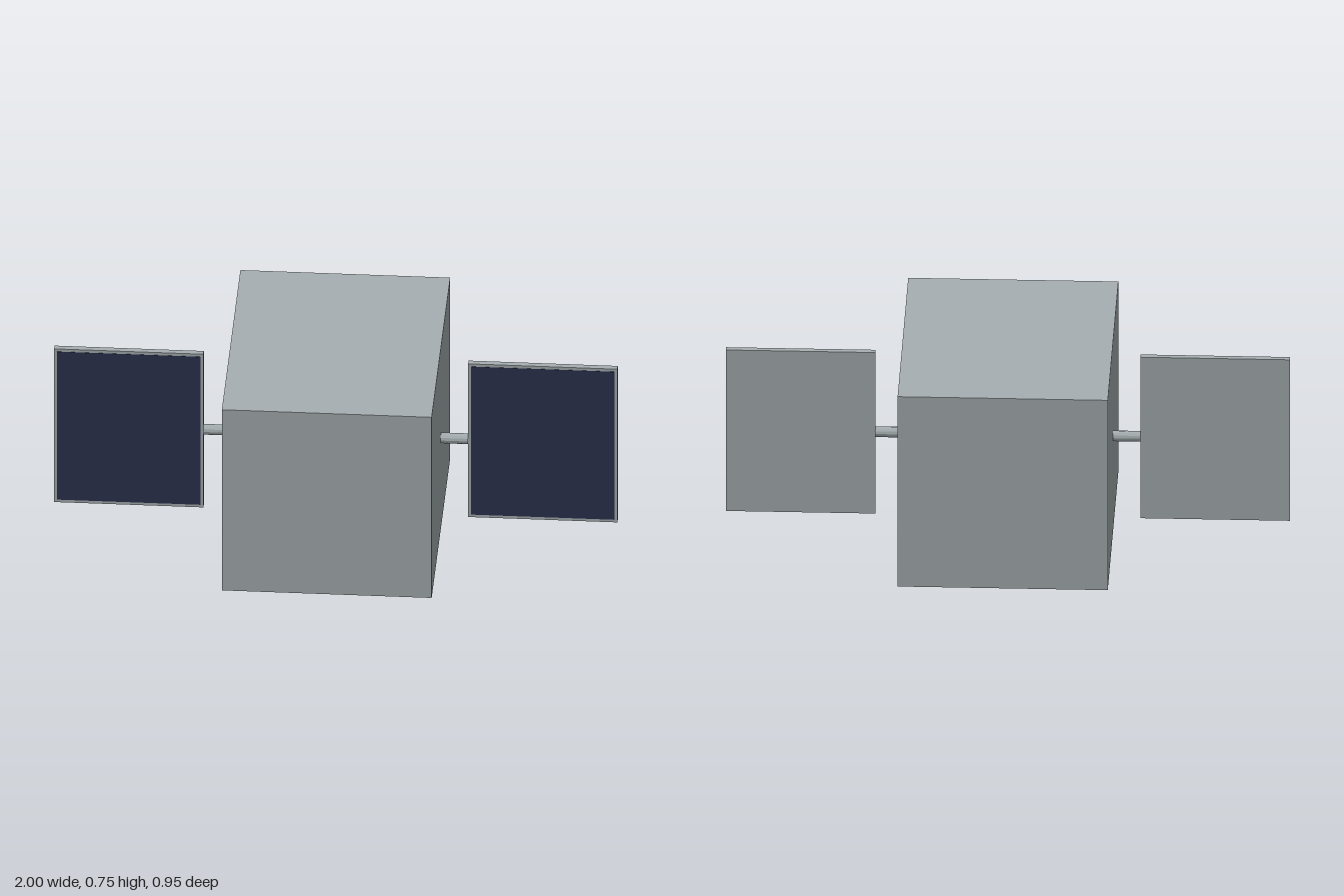
import * as THREE from 'three';

export function createModel() {
  const model = new THREE.Group();
  const hull = new THREE.MeshStandardMaterial({ color: 0xa7afb2, flatShading: true });
  hull.name = 'hull grey';
  const cells = new THREE.MeshStandardMaterial({ color: 0x2c3350, flatShading: true });
  cells.name = 'solar navy';

  const add = (parent, name, geometry, material, x, y, z) => {
    const mesh = new THREE.Mesh(geometry, material);
    mesh.name = name;
    mesh.position.set(x, y, z);
    parent.add(mesh);
    return mesh;
  };

  const midY = 0.375;

  // Main box
  add(model, 'body', new THREE.BoxGeometry(0.745, 0.75, 0.95), hull, 0, midY, 0);

  // Mirrored wings: strut, framed panel and its front cell plate
  for (const [side, s] of [['left', 1], ['right', -1]]) {
    const wing = new THREE.Group();
    wing.name = side + 'Wing';
    wing.position.y = midY;
    model.add(wing);

    const strut = add(wing, side + 'Strut',
      new THREE.CylinderGeometry(0.019, 0.019, 0.11, 12), hull, s * 0.415, 0, 0);
    strut.rotation.z = Math.PI / 2;

    add(wing, side + 'Panel', new THREE.BoxGeometry(0.53, 0.636, 0.022), hull, s * 0.735, 0, 0);
    add(wing, side + 'SolarCells', new THREE.BoxGeometry(0.51, 0.614, 0.003), cells, s * 0.735, 0, 0.0105);
  }
  return model;
}
